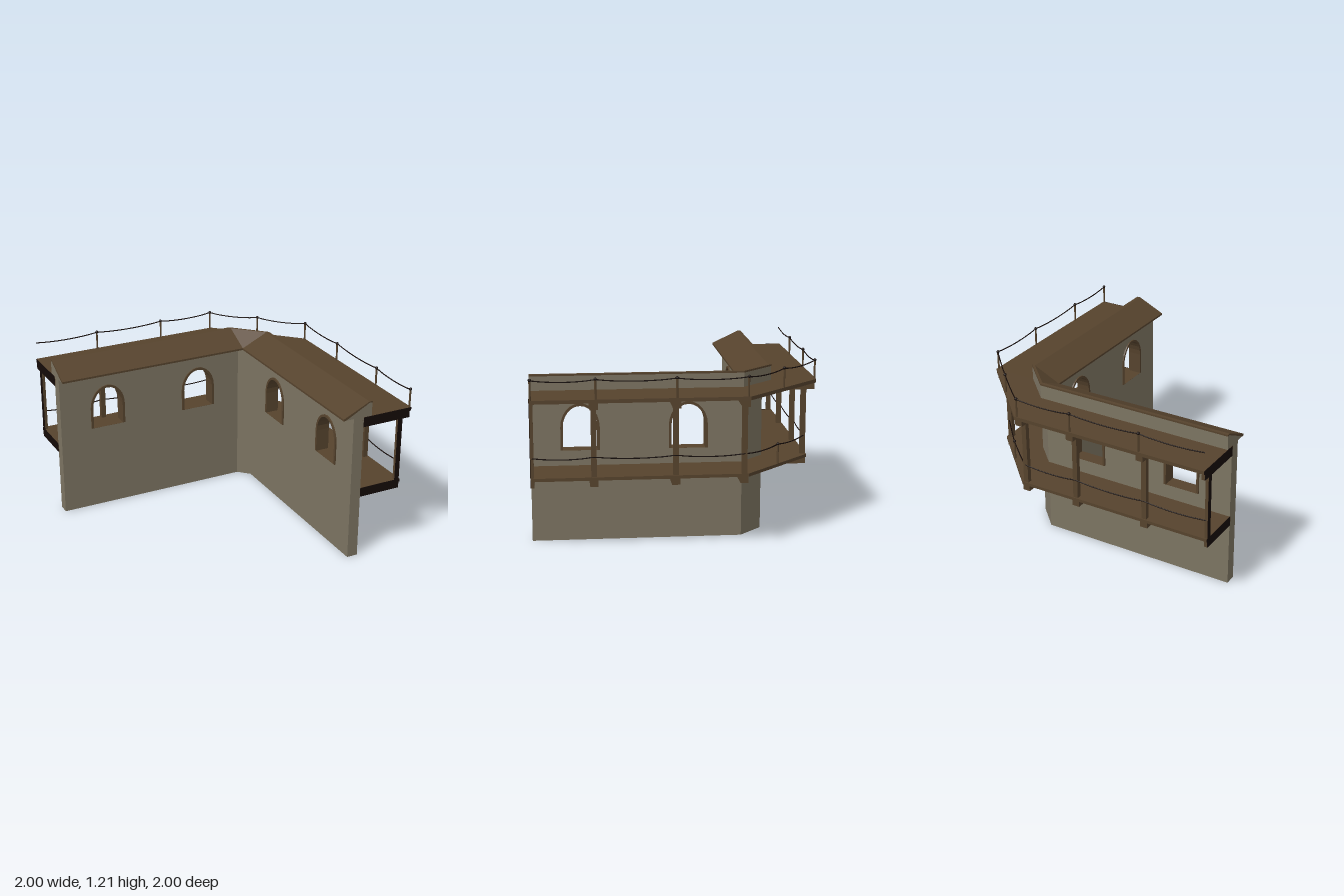
import * as THREE from 'three';

const mat = (name, color) => {
  const m = new THREE.MeshStandardMaterial({ color });
  m.name = name;
  return m;
};

export function createModel() {
  const root = new THREE.Group();
  const stone = mat('stone', 0x7c7462);
  const wood = mat('wood', 0x56432d);
  const dark = mat('darkIron', 0x150b08);

  // Everything is offset by a radius r around this corner pivot
  const P = { x: 0.455, z: -0.457 };
  const LEN_A = 1.455, LEN_B = 1.45;

  const add = (parent, name, geo, material) => {
    const m = new THREE.Mesh(geo, material);
    m.name = name;
    parent.add(m);
    return m;
  };

  // Cross-section stations: back arm end, both sides of the corner, side arm end
  const stations = [
    [P.x - LEN_A, P.z, 0, -1], [P.x, P.z, 0, -1],
    [P.x, P.z, 1, 0], [P.x, P.z + LEN_B, 1, 0],
  ];

  // Sweeps a counter-clockwise (r, y) profile through the stations
  function sweep(profile, st = stations) {
    const pos = [];
    const pt = (i, j) => {
      const [x, z, dx, dz] = st[i], [r, y] = profile[j % profile.length];
      return [x + dx * r, y, z + dz * r];
    };
    for (let i = 0; i < st.length - 1; i++) {
      for (let j = 0; j < profile.length; j++) {
        const a = pt(i, j), b = pt(i, j + 1), c = pt(i + 1, j + 1), d = pt(i + 1, j);
        pos.push(...a, ...b, ...c, ...a, ...c, ...d);
      }
    }
    const tris = THREE.ShapeUtils.triangulateShape(profile.map(p => new THREE.Vector2(...p)), []);
    for (const [a, b, c] of tris) {
      pos.push(...pt(0, a), ...pt(0, c), ...pt(0, b));
      const e = st.length - 1;
      pos.push(...pt(e, a), ...pt(e, b), ...pt(e, c));
    }
    const g = new THREE.BufferGeometry();
    g.setAttribute('position', new THREE.Float32BufferAttribute(pos, 3));
    g.computeVertexNormals();
    return g;
  }
  const rect = (r0, r1, y0, y1) => [[r0, y0], [r1, y0], [r1, y1], [r0, y1]];

  // Corner of the wall, its thicker top, the sloping roof and the two walkways
  add(root, 'wallCorner', sweep(rect(0.08, 0.16, 0, 1.075), stations.slice(1, 3)), stone);
  add(root, 'wallTop', sweep([[0.02, 1.075], [0.222, 1.07], [0.222, 1.17], [0.2, 1.17]]), stone);
  add(root, 'roof', sweep([[0, 1.072], [0.02, 1.075], [0.2, 1.168], [0.224, 1.168],
    [0.224, 1.18], [0.2, 1.18], [0, 1.086]]), wood);
  add(root, 'lowerDeck', sweep(rect(0.15, 0.483, 0.51, 0.532)), wood);
  add(root, 'upperDeck', sweep(rect(0.15, 0.542, 1.045, 1.07)), wood);

  // Arched outline; drawn into a Shape or Path
  function arch(target, s, half, y0, spring, rise) {
    target.moveTo(s - half, y0);
    target.lineTo(s + half, y0);
    target.lineTo(s + half, spring);
    const n = 12;
    for (let i = 1; i <= n; i++) {
      const a = Math.PI * i / n;
      target.lineTo(s + half * Math.cos(a), spring + rise * Math.sin(a));
    }
    target.closePath();
    return target;
  }
  const extrude = (shape, depth) =>
    new THREE.ExtrudeGeometry(shape, { depth, bevelEnabled: false }).translate(0, 0, -depth / 2);

  // One straight arm: local x runs away from the corner, k * z is the outward radius
  function arm(name, len, rotY, k, windows, posts) {
    const g = new THREE.Group();
    g.name = name;
    g.position.set(P.x, 0, P.z);
    g.rotation.y = rotY;
    root.add(g);
    const box = (n, s0, s1, y0, y1, r0, r1, m) =>
      add(g, n, new THREE.BoxGeometry(s1 - s0, y1 - y0, r1 - r0), m)
        .position.set((s0 + s1) / 2, (y0 + y1) / 2, k * (r0 + r1) / 2);

    // Wall with arched openings
    const wall = new THREE.Shape([[0, 0], [len, 0], [len, 1.075], [0, 1.075]]
      .map(p => new THREE.Vector2(...p)));
    for (const s of windows) wall.holes.push(arch(new THREE.Path(), s, 0.132, 0.64, 0.8, 0.163));
    add(g, 'wall', extrude(wall, 0.08), stone).position.z = k * 0.12;

    // Arched window frames, open at the sill
    for (const s of windows) {
      const frame = arch(new THREE.Shape(), s, 0.134, 0.64, 0.8, 0.165);
      frame.holes.push(arch(new THREE.Path(), s, 0.117, 0.6405, 0.8, 0.148));
      add(g, 'windowFrame', extrude(frame, 0.1), wood).position.z = k * 0.12;
    }

    // Joists under both decks and the posts between them
    for (const s of posts) {
      box('lowerJoist', s - 0.027, s + 0.027, 0.465, 0.51, 0.15, 0.475, wood);
      box('upperJoist', s - 0.027, s + 0.027, 0.998, 1.045, 0.15, 0.53, wood);
      box('post', s - 0.018, s + 0.018, 0.53, 0.998, 0.44, 0.475, wood);
    }
    const e = len - 0.022;
    box('endLowerJoist', e, len, 0.465, 0.51, 0.15, 0.475, wood);
    box('endUpperJoist', e, len, 0.998, 1.045, 0.15, 0.53, wood);
    box('endPost', e, len, 0.53, 0.998, 0.44, 0.475, wood);

    // Dark faces closing the walkway ends
    const t = len + 0.003;
    box('lowerDeckEnd', len, t, 0.51, 0.532, 0.16, 0.483, dark);
    box('lowerJoistEnd', len, t, 0.465, 0.51, 0.16, 0.475, dark);
    box('upperDeckEnd', len, t, 1.045, 1.07, 0.16, 0.542, dark);
    box('upperJoistEnd', len, t, 0.998, 1.045, 0.16, 0.53, dark);
    box('postEnd', len, t, 0.532, 0.998, 0.44, 0.475, dark);
  }
  arm('backArm', LEN_A, Math.PI, 1, [1.085, 0.345], [0.975, 0.435, 0.025]);
  arm('sideArm', LEN_B, -Math.PI / 2, -1, [1.112, 0.372], [1.032, 0.487, 0.027]);

  // Points along the walkway edge: back arm, mid corner, side arm
  const backPt = (s, r) => [P.x - s, P.z - r];
  const sidePt = (s, r) => [P.x + r, P.z + s];
  const midPt = r => [P.x + r / 2, P.z - r / 2];

  // Slender rail post with a small knob
  function railPost([x, z], y0, y1) {
    add(root, 'railPost', new THREE.CylinderGeometry(0.007, 0.007, y1 - y0, 8), wood)
      .position.set(x, (y0 + y1) / 2, z);
    add(root, 'railKnob', new THREE.SphereGeometry(0.011, 8, 6), dark).position.set(x, y1, z);
  }

  // Rope hanging between consecutive points
  function rope(name, pts, y, sag) {
    const path = [], n = 8;
    for (let i = 0; i < pts.length - 1; i++) {
      for (let j = i ? 1 : 0; j <= n; j++) {
        const t = j / n, [a, b] = [pts[i], pts[i + 1]];
        path.push(new THREE.Vector3(a[0] + (b[0] - a[0]) * t, y - sag * 4 * t * (1 - t),
          a[1] + (b[1] - a[1]) * t));
      }
    }
    add(root, name, new THREE.TubeGeometry(new THREE.CatmullRomCurve3(path), path.length * 2, 0.004, 6), dark);
  }

  const R = 0.532;
  const upper = [
    ...[0.97, 0.44, 0.015].map(s => backPt(s, R)), midPt(R),
    ...[0.015, 0.487, 1.02, 1.443].map(s => sidePt(s, R)),
  ];
  upper.forEach(p => railPost(p, 1.07, 1.203));
  rope('upperRope', [backPt(LEN_A, R), ...upper], 1.2, 0.014);

  const r = 0.474;
  railPost(midPt(r), 0.53, 0.67);
  rope('lowerRope', [
    ...[1.445, 0.975, 0.435, 0.025].map(s => backPt(s, r)), midPt(r),
    ...[0.027, 0.487, 1.032, 1.44].map(s => sidePt(s, r)),
  ], 0.668, 0.014);

  return root;
}
